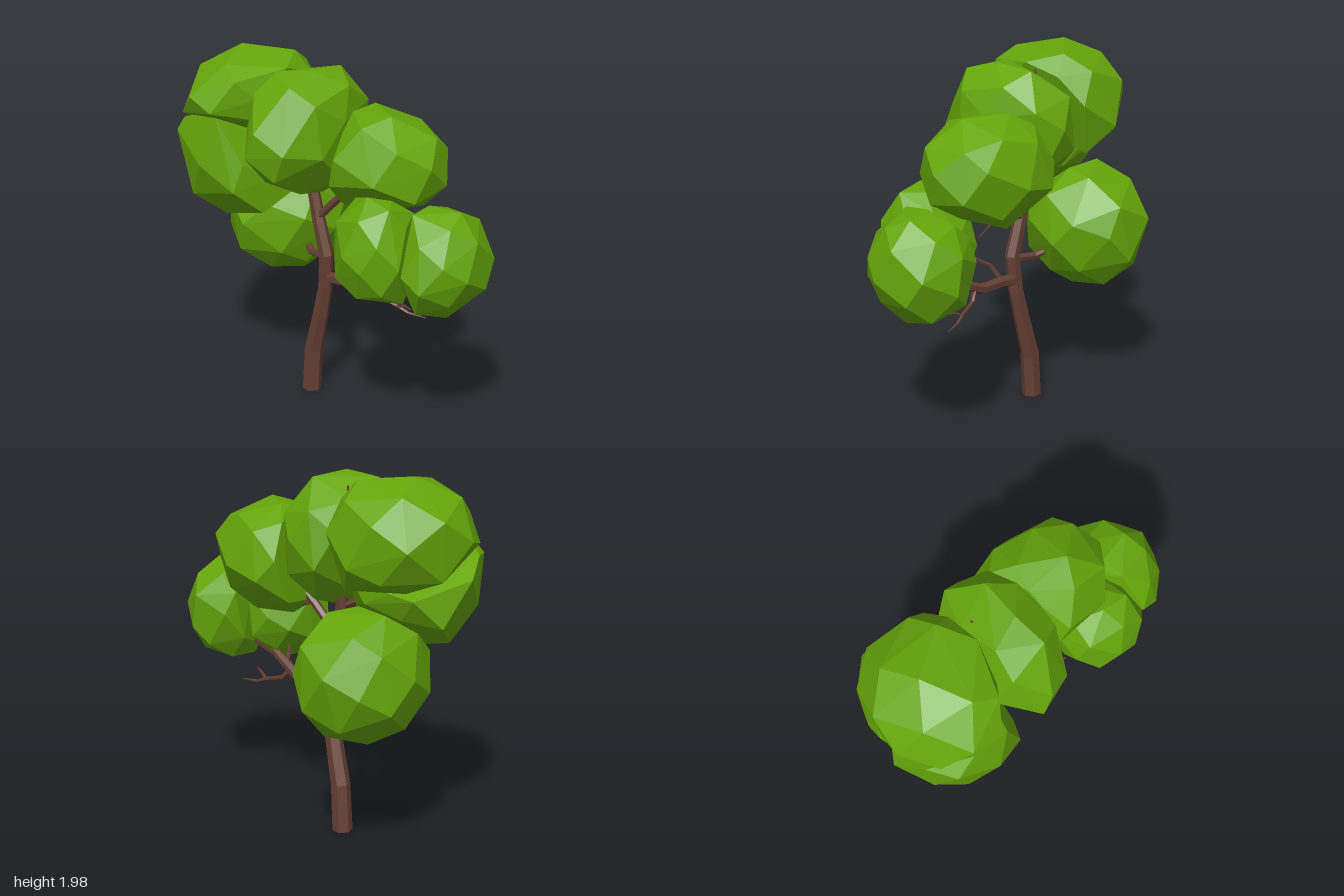
import * as THREE from 'three';
import { ConvexGeometry } from 'three/addons/geometries/ConvexGeometry.js';

const bark = new THREE.MeshStandardMaterial({ color: 0x664034, flatShading: true });
const leaf = new THREE.MeshStandardMaterial({ color: 0x65a50a, flatShading: true });
const UP = new THREE.Vector3(0, 1, 0);

function seeded(seed) {
  let s = seed;
  return () => (s = (s * 16807) % 2147483647) / 2147483647;
}

// Tapered limb: one ring of corners per path point [x, y, z, radius], closed at both ends
function limb(name, path, sides = 6) {
  const pts = path.map(p => new THREE.Vector3(p[0], p[1], p[2]));
  const pos = [], index = [], last = path.length - 1;
  pts.forEach((p, i) => {
    const dir = pts[Math.min(i + 1, last)].clone().sub(pts[Math.max(i - 1, 0)]).normalize();
    const turn = new THREE.Quaternion().setFromUnitVectors(UP, dir);
    for (let k = 0; k < sides; k++) {
      const a = (k / sides) * Math.PI * 2, r = path[i][3];
      const v = new THREE.Vector3(Math.cos(a) * r, 0, Math.sin(a) * r).applyQuaternion(turn).add(p);
      pos.push(v.x, Math.max(v.y, 0), v.z);
      const b = i * sides + k, c = i * sides + (k + 1) % sides;
      if (i < last) index.push(b, b + sides, c, c, b + sides, c + sides);
    }
  });
  const top = last * sides;
  for (let k = 1; k < sides - 1; k++) index.push(0, k, k + 1, top, top + k + 1, top + k);
  const g = new THREE.BufferGeometry();
  g.setAttribute('position', new THREE.Float32BufferAttribute(pos, 3));
  g.setIndex(index);
  const flat = g.toNonIndexed();
  flat.computeVertexNormals();
  const mesh = new THREE.Mesh(flat, bark);
  mesh.name = name;
  return mesh;
}

// Faceted leaf clump: convex hull of a jittered ellipsoid, flattened against planes
function clump({ name, c, r, cuts, seed }) {
  const rnd = seeded(seed), pts = [], n = 32;
  for (let i = 0; i < n; i++) {
    const y = 1 - (2 * (i + 0.5)) / n, a = i * 2.39996 + seed;
    const h = Math.sqrt(1 - y * y), k = 0.98 + rnd() * 0.08;
    const j = () => (rnd() - 0.5) * 0.22;
    const v = new THREE.Vector3(Math.cos(a) * h + j(), y + j(), Math.sin(a) * h + j());
    v.normalize().multiplyScalar(k).multiply(new THREE.Vector3(...r)).add(new THREE.Vector3(...c));
    for (let pass = 0; pass < 3; pass++) {
      for (const [plane, side] of cuts) {
        const over = plane.distanceToPoint(v) * side + 0.006;
        if (over > 0) v.addScaledVector(plane.normal, -over * side);
      }
    }
    pts.push(v);
  }
  const mesh = new THREE.Mesh(new ConvexGeometry(pts), leaf);
  mesh.name = name;
  return mesh;
}

export function createModel() {
  const tree = new THREE.Group();
  tree.name = 'tree';

  // Trunk and limbs
  const wood = new THREE.Group();
  wood.name = 'wood';
  wood.add(
    limb('trunk', [
      [-0.25, 0, -0.04, 0.055], [-0.232, 0.26, -0.04, 0.053], [-0.165, 0.5, -0.035, 0.047],
      [-0.12, 0.68, -0.03, 0.042], [-0.1, 0.88, -0.02, 0.041], [-0.165, 1.08, -0.02, 0.037],
      [-0.21, 1.25, -0.02, 0.033], [-0.22, 1.5, -0.03, 0.025], [-0.26, 1.75, -0.03, 0.015],
      [-0.27, 1.89, -0.03, 0.004]]),
    limb('lowBranch', [
      [-0.12, 0.74, -0.03, 0.036], [0, 0.76, -0.03, 0.033], [0.17, 0.775, -0.04, 0.03],
      [0.36, 0.86, -0.04, 0.026], [0.6, 0.89, -0.04, 0.02], [0.72, 1.0, -0.06, 0.01]]),
    limb('highBranch', [
      [-0.17, 1.08, -0.02, 0.026], [-0.03, 1.23, -0.06, 0.023], [0.12, 1.36, -0.1, 0.015]]),
    limb('leftBranch', [
      [-0.1, 0.865, -0.02, 0.024], [-0.26, 0.845, -0.05, 0.021], [-0.5, 0.92, -0.15, 0.01]]),
    limb('upperLeftBranch', [
      [-0.2, 1.24, -0.02, 0.02], [-0.32, 1.3, 0.03, 0.017], [-0.48, 1.38, 0.1, 0.01]])
  );

  // Twigs
  const twigs = [
    [[-0.01, 0.77, -0.02, 0.013], [0.03, 0.85, 0.02, 0.012], [0.12, 0.91, 0.06, 0.01], [0.14, 0.95, 0.08, 0.008], [0.21, 0.99, 0.1, 0.003]],
    [[0.11, 0.91, 0.06, 0.009], [0.16, 0.925, 0.09, 0.008], [0.21, 0.94, 0.13, 0.003]],
    [[0.22, 0.8, -0.04, 0.013], [0.27, 0.74, -0.07, 0.012], [0.38, 0.71, -0.1, 0.01], [0.44, 0.685, -0.12, 0.008], [0.54, 0.68, -0.15, 0.003]],
    [[0.38, 0.71, -0.1, 0.009], [0.44, 0.735, -0.09, 0.008], [0.51, 0.74, -0.07, 0.003]],
    [[0.26, 0.81, -0.04, 0.012], [0.28, 0.88, -0.01, 0.01], [0.31, 0.95, 0.02, 0.006]],
    [[-0.02, 1.24, -0.06, 0.013], [0.08, 1.2, -0.09, 0.011], [0.18, 1.16, -0.12, 0.009], [0.36, 1.16, -0.2, 0.003]]
  ];
  twigs.forEach((p, i) => wood.add(limb(`twig${i + 1}`, p, 5)));
  tree.add(wood);

  // Planes between neighbouring clumps: normal, point
  const plane = (n, p) => new THREE.Plane().setFromNormalAndCoplanarPoint(
    new THREE.Vector3(...n).normalize(), new THREE.Vector3(...p));
  const topMid = plane([-0.12, 0.88, -0.42], [-0.6, 1.6, 0.32]);
  const topCentre = plane([0.94, -0.28, -0.08], [-0.33, 1.8, 0.1]);
  const midCentre = plane([0.95, 0.3, 0], [-0.32, 1.45, 0.2]);
  const midLow = plane([0, 0.75, 0.65], [-0.55, 1.18, 0.08]);
  const centreUpper = plane([0.93, -0.1, -0.36], [0.06, 1.55, -0.03]);
  const upperFront = plane([-0.2, 0.75, -0.6], [0.4, 1.3, -0.02]);
  const upperEnd = plane([0.6, -0.75, 0], [0.56, 1.35, -0.15]);
  const frontEnd = plane([0.86, 0, -0.5], [0.61, 1.1, 0.07]);

  // Leaf clumps: centre, radii, and the side of each plane to cut away
  const foliage = new THREE.Group();
  foliage.name = 'foliage';
  [
    { name: 'topClump', c: [-0.55, 1.65, 0.09], r: [0.38, 0.35, 0.4], cuts: [[topMid, -1], [topCentre, 1]], seed: 3 },
    { name: 'middleClump', c: [-0.55, 1.46, 0.18], r: [0.37, 0.42, 0.34], cuts: [[topMid, 1], [midCentre, 1], [midLow, -1]], seed: 11 },
    { name: 'lowClump', c: [-0.555, 0.99, -0.15], r: [0.315, 0.35, 0.37], cuts: [[midLow, 1]], seed: 7 },
    { name: 'centreClump', c: [-0.17, 1.6, 0.06], r: [0.28, 0.36, 0.39], cuts: [[topCentre, -1], [midCentre, -1], [centreUpper, 1]], seed: 19 },
    { name: 'upperClump', c: [0.2, 1.47, -0.12], r: [0.4, 0.31, 0.31], cuts: [[centreUpper, -1], [upperFront, -1], [upperEnd, 1]], seed: 23 },
    { name: 'frontClump', c: [0.44, 1.11, 0.08], r: [0.26, 0.3, 0.26], cuts: [[upperFront, 1], [frontEnd, 1]], seed: 31 },
    { name: 'endClump', c: [0.67, 1.07, -0.09], r: [0.26, 0.295, 0.29], cuts: [[frontEnd, -1], [upperEnd, -1]], seed: 41 }
  ].forEach(s => foliage.add(clump(s)));
  tree.add(foliage);
  return tree;
}
